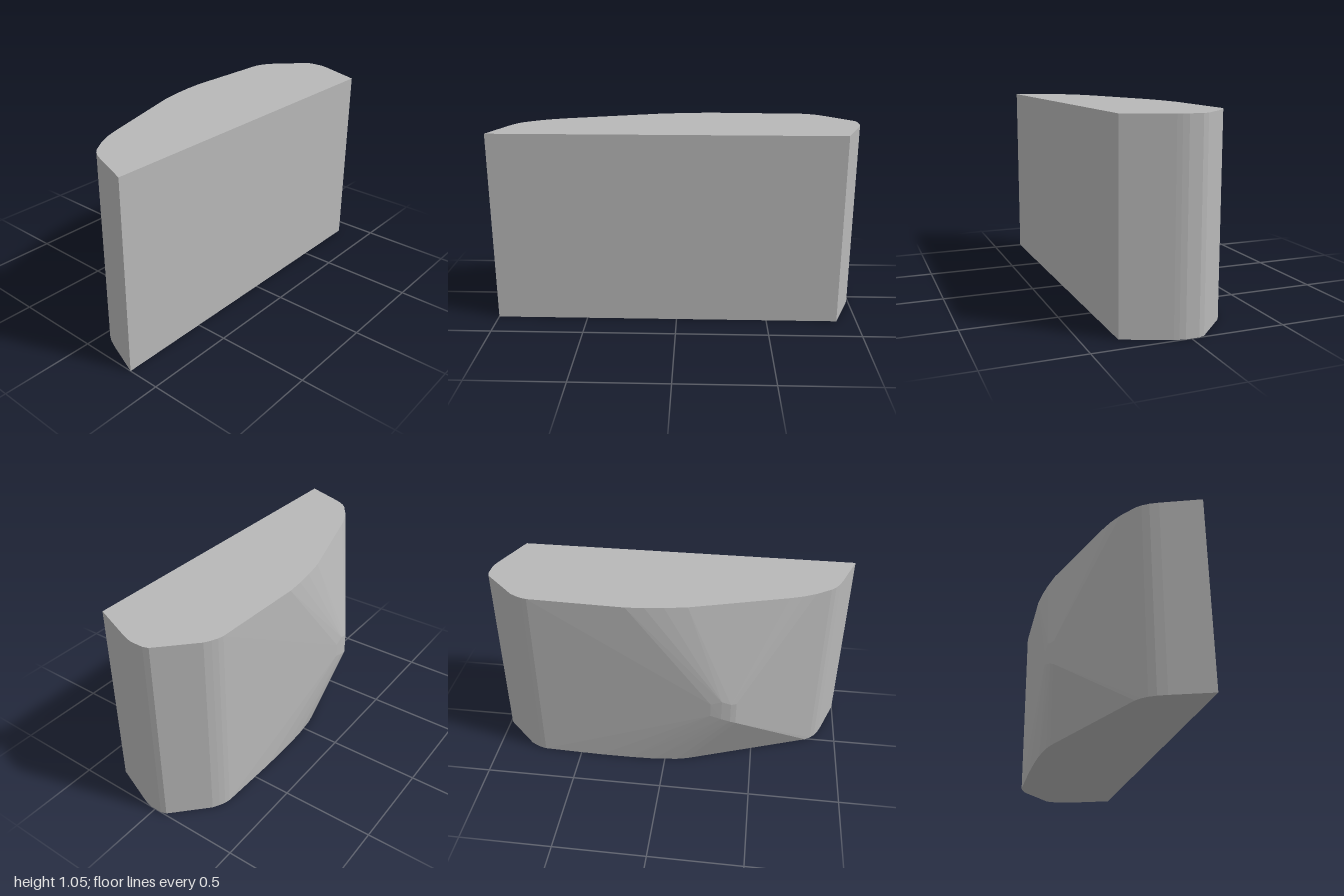
import * as THREE from 'three';
import { ConvexGeometry } from 'three/addons/geometries/ConvexGeometry.js';

const HEIGHT = 1.05;

// Outline shared by the top and bottom faces, as [x, z]
const ENDS = [
  [0.325, 1], [0.12, 0.922], [0.075, 0.902], [0.04, 0.88], [0.015, 0.855], [-0.005, 0.825],
  [0.325, -0.89], [0.085, -0.985], [0.06, -0.993], [0.03, -1], [-0.04, -1], [-0.07, -0.99],
  [-0.24, -0.815], [-0.26, -0.78], [-0.273, -0.75], [-0.28, -0.72],
];
// Curved side of each face
const TOP_SIDE = [[-0.297, -0.2], [-0.29, -0.1], [-0.277, 0], [-0.255, 0.12], [-0.1, 0.635], [-0.075, 0.705], [-0.04, 0.775]];
const BOTTOM_SIDE = [[-0.29, -0.38], [-0.29, -0.2], [-0.286, -0.06], [-0.272, 0.07], [-0.258, 0.13]];
// Bulge between the faces, as [x, y, z]
const BULGE = [
  [-0.325, 0.4, 0.26], [-0.325, 0.48, 0.26], [-0.322, 0.38, 0.32], [-0.321, 0.5, 0.32],
  [-0.314, 0.36, 0.37], [-0.313, 0.48, 0.37], [-0.303, 0.345, 0.4], [-0.302, 0.48, 0.4],
];

export function createModel() {
  const stone = new THREE.MeshStandardMaterial({ color: 0xb8b8b8 });
  stone.name = 'grey';

  const at = (y) => ([x, z]) => new THREE.Vector3(x, y, z);
  const points = [
    ...[...ENDS, ...TOP_SIDE].map(at(HEIGHT)),
    ...[...ENDS, ...BOTTOM_SIDE].map(at(0)),
    ...BULGE.map((p) => new THREE.Vector3(...p)),
  ];

  // One faceted solid with a flat side at +x
  const block = new THREE.Mesh(new ConvexGeometry(points), stone);
  block.name = 'block';

  const model = new THREE.Group();
  model.name = 'facetedBlock';
  model.add(block);
  return model;
}
